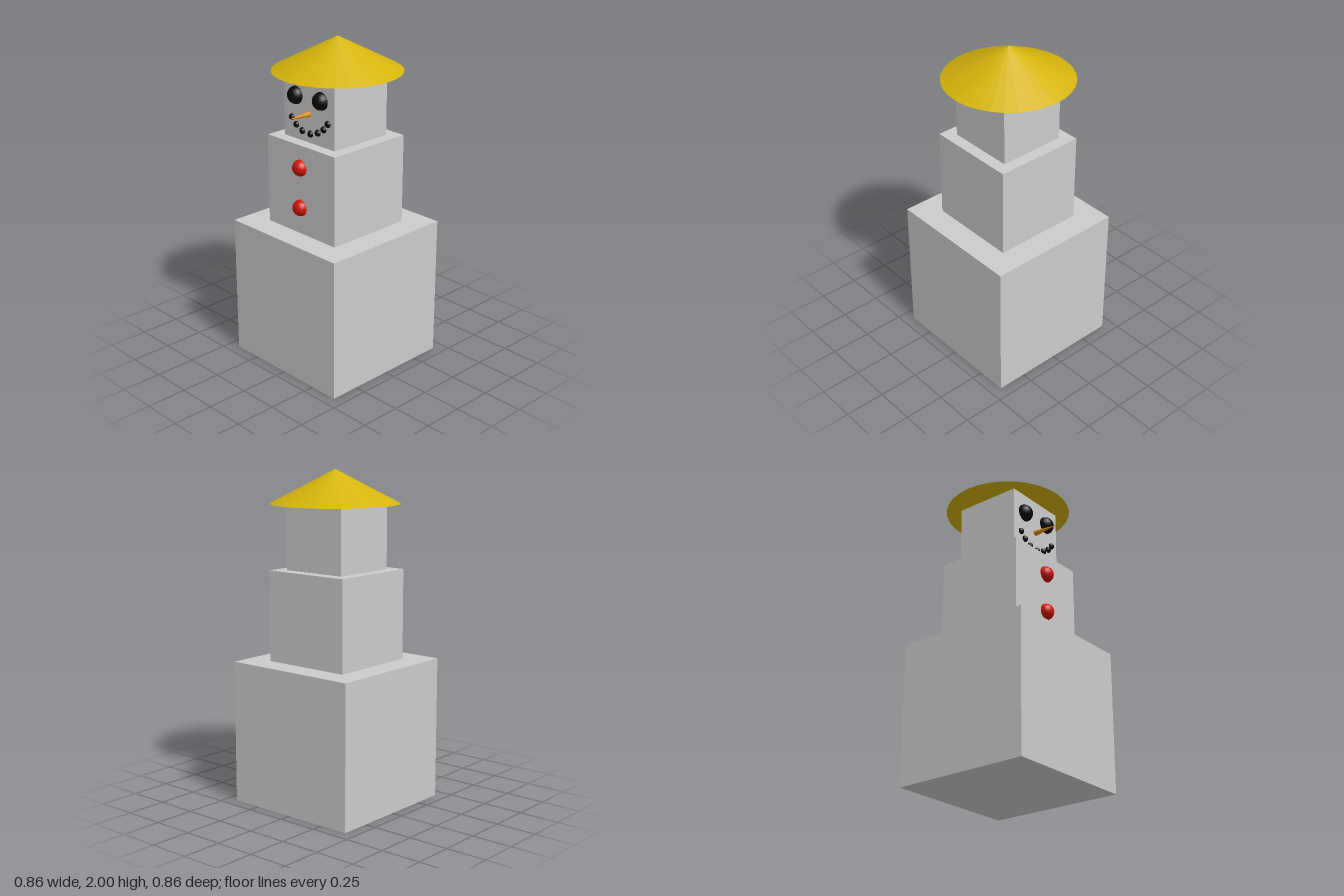
import * as THREE from 'three';

const material = (color) => new THREE.MeshStandardMaterial({ color, flatShading: true });

export function createModel() {
  const model = new THREE.Group();
  const snow = material(0xcccccc);
  const coal = material(0x0a0a0a);
  const red = material(0xcc1505);
  const orange = material(0xd98a14);
  const straw = material(0xd4b40c);

  const add = (name, geometry, mat, x, y, z) => {
    const mesh = new THREE.Mesh(geometry, mat);
    mesh.name = name;
    mesh.position.set(x, y, z);
    model.add(mesh);
    return mesh;
  };
  const ball = (name, radius, mat, x, y, z) =>
    add(name, new THREE.SphereGeometry(radius, 32, 16), mat, x, y, z);

  // Stacked cubic body: name, width, bottom, top, x
  for (const [name, width, bottom, top, x] of [
    ['base', 0.862, 0, 0.865, 0],
    ['torso', 0.56, 0.865, 1.41, -0.001],
    ['head', 0.417, 1.41, 1.805, -0.002],
  ]) {
    add(name, new THREE.BoxGeometry(width, top - bottom, width), snow, x, (bottom + top) / 2, 0);
  }

  // Wide conical hat
  add('hat', new THREE.ConeGeometry(0.383, 0.2, 32), straw, 0.002, 1.9, -0.011);

  // Face, set half into the front of the head
  const faceZ = 0.208;
  ball('rightEye', 0.053, coal, -0.11, 1.672, faceZ);
  ball('leftEye', 0.053, coal, 0.098, 1.679, faceZ);

  const nose = add('nose', new THREE.ConeGeometry(0.02, 0.19, 32), orange, -0.003, 1.581, 0.275);
  nose.rotation.x = Math.PI / 2;

  // Smile made of coal pieces
  const smile = [
    [-0.145, 1.533], [-0.108, 1.496], [-0.058, 1.47], [0.01, 1.465],
    [0.071, 1.485], [0.119, 1.517], [0.153, 1.557],
  ];
  smile.forEach(([x, y], i) => ball(`mouthCoal${i + 1}`, 0.02, coal, x, y, faceZ));

  // Buttons on the torso
  ball('upperButton', 0.049, red, -0.001, 1.275, 0.28);
  ball('lowerButton', 0.049, red, -0.003, 1.028, 0.28);

  return model;
}
